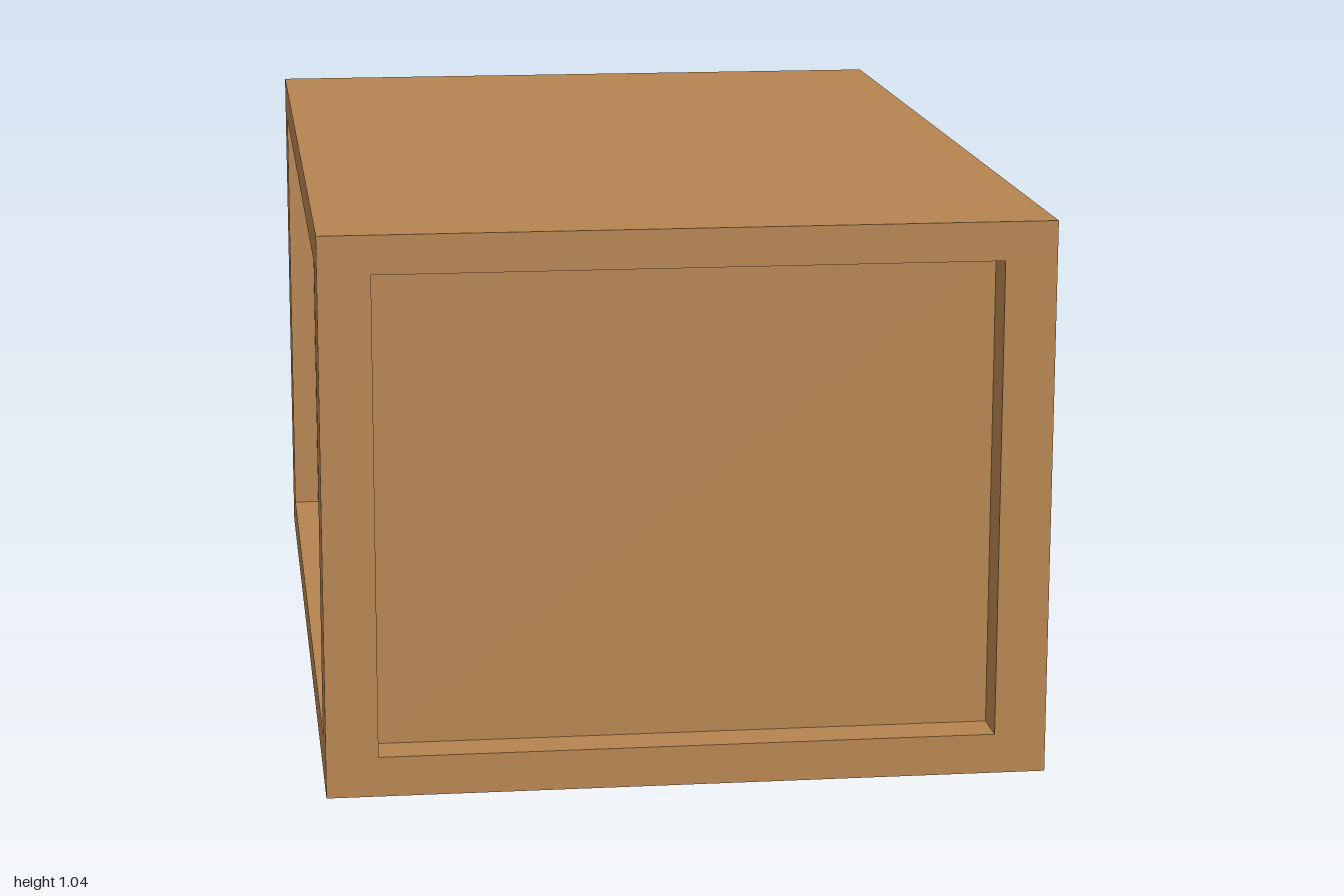
import * as THREE from 'three';

export function createModel() {
  const root = new THREE.Group();
  root.name = 'woodenCrate';
  const wood = new THREE.MeshStandardMaterial({ color: 0xb58450 });
  wood.name = 'wood';

  // Box given by its lower and upper limits on each axis
  function box(name, [x0, x1], [y0, y1], [z0, z1]) {
    const mesh = new THREE.Mesh(new THREE.BoxGeometry(x1 - x0, y1 - y0, z1 - z0), wood);
    mesh.position.set((x0 + x1) / 2, (y0 + y1) / 2, (z0 + z1) / 2);
    mesh.name = name;
    root.add(mesh);
  }

  const W = 0.668, H = 1.042, openX = 0.572, openZ = 0.866;
  const low = 0.075, high = 0.97;

  // Lid and base
  box('lid', [-W, W], [high, H], [-1, 1]);
  box('base', [-W, W], [0, low], [-1, 1]);

  // Corner posts
  for (const [side, x] of [['left', [openX, W]], ['right', [-W, -openX]]]) {
    box(side + 'FrontPost', x, [low, high], [openZ, 1]);
    box(side + 'BackPost', x, [low, high], [-1, -openZ]);
  }

  // Recessed plain panels
  box('frontPanel', [-openX, openX], [low, high], [0.79, 0.92]);
  box('rightPanel', [-0.615, -0.56], [low, high], [-openZ, openZ]);

  // Recessed back panel with a hand slot
  const panel = new THREE.Shape([
    [-openX, low], [openX, low], [openX, high], [-openX, high],
  ].map(([x, y]) => new THREE.Vector2(x, y)));
  panel.holes.push(new THREE.Path([
    [-0.185, 0.83], [-0.185, 0.89], [0.185, 0.89], [0.185, 0.83],
  ].map(([x, y]) => new THREE.Vector2(x, y))));
  const backPanel = new THREE.Mesh(
    new THREE.ExtrudeGeometry(panel, { depth: 0.13, bevelEnabled: false }), wood);
  backPanel.position.z = -0.92;
  backPanel.name = 'backPanel';
  root.add(backPanel);

  // Slats standing slightly proud of the open side
  [0.025, 0.285, 0.52, 0.756].forEach((y, i) =>
    box('slat' + (i + 1), [0.6, 0.671], [y, y + 0.216], [-0.857, 0.859]));

  return root;
}
